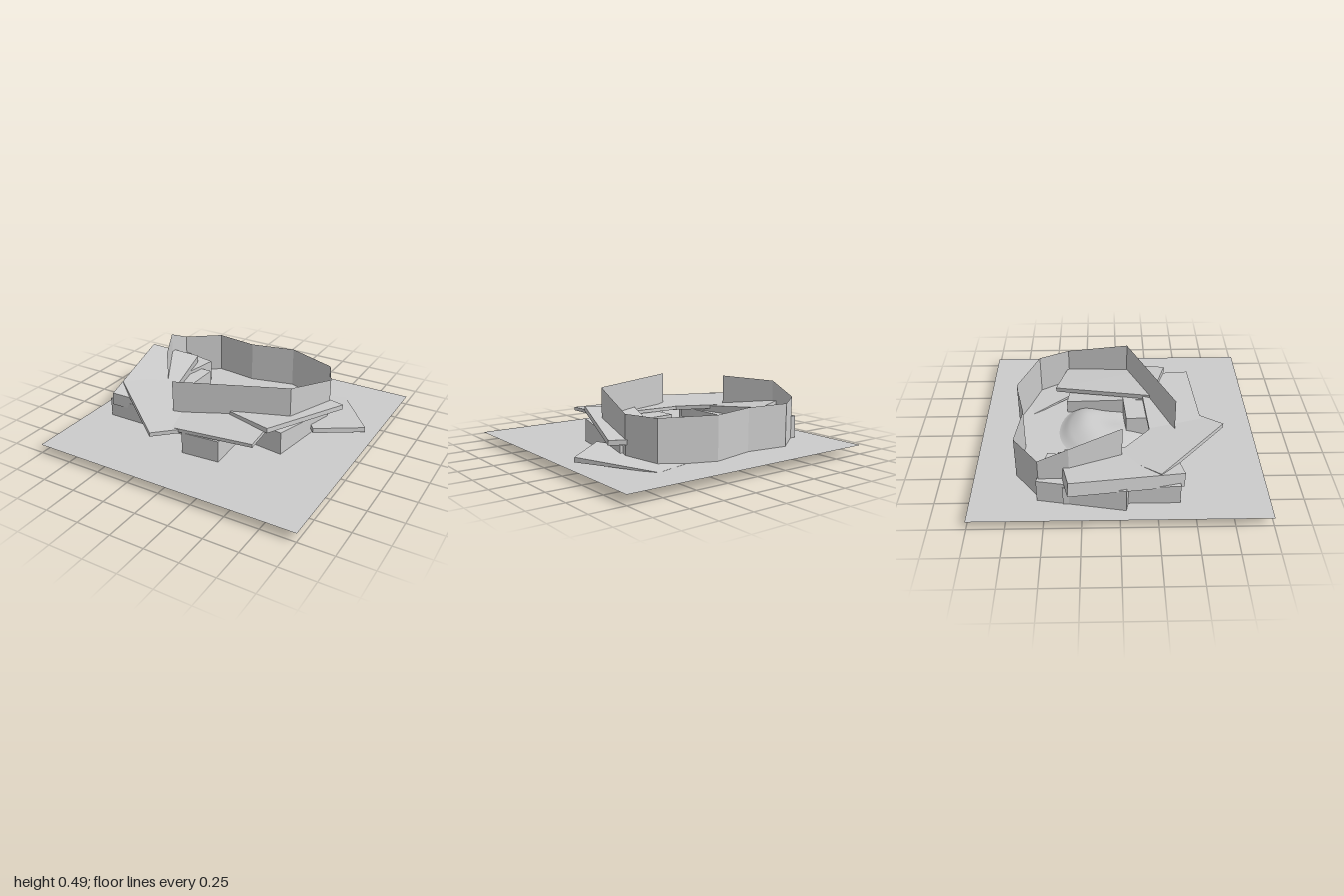
import * as THREE from 'three';

const GROUND = 0.07;
const material = new THREE.MeshStandardMaterial({ color: 0xcccccc, side: THREE.DoubleSide });

function addMesh(group, name, geometry) {
  const mesh = new THREE.Mesh(geometry, material);
  mesh.name = name;
  group.add(mesh);
}

// flat-shaded geometry from a list of four-cornered faces
function quads(faces) {
  const points = faces.flatMap(([a, b, c, d]) => [a, b, c, a, c, d]);
  const geometry = new THREE.BufferGeometry().setFromPoints(points);
  geometry.computeVertexNormals();
  return geometry;
}

// corners run back left, front left, front right, back right
function prism(top, bottom) {
  const faces = [top, [...bottom].reverse()];
  for (let i = 0; i < 4; i++) {
    const j = (i + 1) % 4;
    faces.push([top[i], bottom[i], bottom[j], top[j]]);
  }
  return quads(faces);
}

// tilted roof plate given by its upper corners
function slab(corners, thickness) {
  const top = corners.map((c) => new THREE.Vector3(...c));
  const normal = top[2].clone().sub(top[0]).cross(top[3].clone().sub(top[1])).normalize();
  const bottom = top.map((p) => {
    const q = p.clone().addScaledVector(normal, -thickness);
    q.y = Math.max(q.y, GROUND - 0.005);
    return q;
  });
  return prism(top, bottom);
}

// upright block standing on the ground
function block(corners) {
  const top = corners.map((c) => new THREE.Vector3(...c));
  return prism(top, top.map((p) => new THREE.Vector3(p.x, GROUND, p.z)));
}

// thin faceted wall; each station is x, z, bottom, top
function wall(stations) {
  const faces = [];
  for (let i = 0; i + 1 < stations.length; i++) {
    const [ax, az, ab, at] = stations[i];
    const [bx, bz, bb, bt] = stations[i + 1];
    faces.push([
      new THREE.Vector3(ax, ab, az), new THREE.Vector3(bx, bb, bz),
      new THREE.Vector3(bx, bt, bz), new THREE.Vector3(ax, at, az),
    ]);
  }
  return quads(faces);
}

// low smooth mound made of soft bumps
function mound() {
  const bumps = [
    [-0.07, -0.25, 0.17, 0.08], [-0.28, -0.16, 0.16, 0.05], [0.12, -0.24, 0.15, 0.06],
    [-0.12, 0.02, 0.18, 0.06], [0.2, 0.03, 0.14, 0.04], [-0.33, 0.08, 0.14, 0.03],
  ];
  const geometry = new THREE.PlaneGeometry(0.85, 0.76, 48, 44).rotateX(-Math.PI / 2);
  geometry.translate(-0.045, 0, -0.1);
  const pos = geometry.attributes.position;
  for (let i = 0; i < pos.count; i++) {
    const x = pos.getX(i), z = pos.getZ(i);
    let y = 0.059;
    for (const [bx, bz, r, h] of bumps) y += h * Math.exp(-((x - bx) ** 2 + (z - bz) ** 2) / (r * r));
    const edge = Math.hypot((x + 0.045) / 0.42, (z + 0.1) / 0.37);
    const fade = THREE.MathUtils.smoothstep(1.05 - edge, 0, 0.35);
    pos.setY(i, 0.059 + (y - 0.059) * fade);
  }
  geometry.computeVertexNormals();
  return geometry;
}

export function createModel() {
  const group = new THREE.Group();
  group.name = 'walledCourtyard';

  addMesh(group, 'ground', new THREE.PlaneGeometry(2, 2).rotateX(-Math.PI / 2).translate(0, GROUND, 0));
  addMesh(group, 'mound', mound());

  // enclosing wall, open at the front left corner
  addMesh(group, 'ringWall', wall([
    [-0.275, 0.4, GROUND, 0.49], [0.495, 0.08, GROUND, 0.49], [0.6, -0.38, GROUND, 0.385],
    [0.5, -0.6, GROUND, 0.38], [0.115, -0.745, GROUND, 0.38], [-0.22, -0.67, GROUND, 0.38],
    [-0.54, -0.71, GROUND, 0.38], [-0.775, -0.535, GROUND, 0.38], [-0.775, -0.33, 0.005, 0.475],
    [-0.58, 0.02, GROUND, 0.49],
  ]));

  // buildings
  addMesh(group, 'frontBlock', block([
    [-0.11, 0.23, 0.06], [-0.08, 0.23, 0.59], [0.2, 0.23, 0.57], [0.17, 0.23, 0.04]]));
  addMesh(group, 'sideBlock', block([
    [0.21, 0.165, -0.385], [0.12, 0.24, 0.215], [0.52, 0.24, 0.27], [0.61, 0.165, -0.33]]));
  addMesh(group, 'courtBlock', block([
    [-0.84, 0.21, -0.375], [-0.84, 0.21, 0.4], [-0.44, 0.21, 0.4], [-0.44, 0.21, -0.375]]));
  addMesh(group, 'cornerBlock', block([
    [-0.8, 0.235, -0.55], [-0.91, 0.235, 0.04], [-0.615, 0.235, 0.1], [-0.505, 0.235, -0.49]]));

  // roof plates
  addMesh(group, 'outerRoof', slab([
    [-0.96, 0.35, -0.33], [-0.79, 0.28, 0.43], [-0.41, 0.23, 0.35], [-0.58, 0.3, -0.41]], 0.1));
  addMesh(group, 'diagonalRoof', slab([
    [-0.82, 0.3, 0.27], [-0.23, 0.265, 0.75], [0.013, 0.235, 0.45], [-0.577, 0.27, -0.03]], 0.03));
  addMesh(group, 'frontRoof', slab([
    [-0.28, 0.25, 0.22], [-0.25, 0.25, 0.605], [0.45, 0.275, 0.55], [0.42, 0.275, 0.165]], 0.025));
  addMesh(group, 'sideRoof', slab([
    [0.35, 0.2, -0.475], [0.105, 0.285, 0.25], [0.465, 0.31, 0.37], [0.715, 0.22, -0.355]], 0.035));
  addMesh(group, 'fallenSlab', slab([
    [0.185, 0.071, -0.64], [0.617, 0.143, -0.05], [0.925, 0.125, -0.28], [0.59, 0.071, -0.74]], 0.035));

  return group;
}
